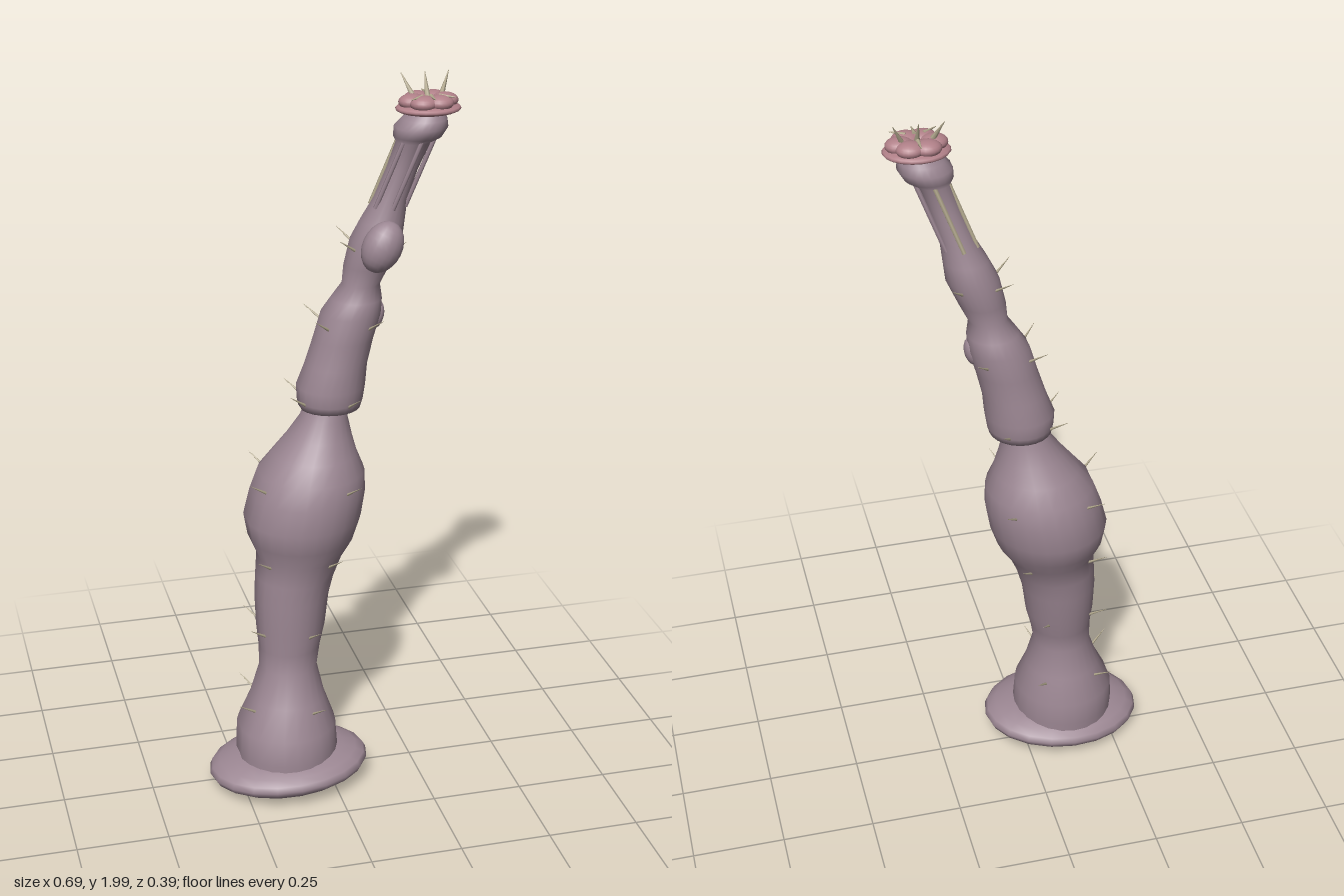
import * as THREE from 'three';

const flesh = new THREE.MeshStandardMaterial({ color: 0x9c8793, side: THREE.DoubleSide });
const pink = new THREE.MeshStandardMaterial({ color: 0xb08088 });
const horn = new THREE.MeshStandardMaterial({ color: 0xb5ab90 });
const V = (x, y, z) => new THREE.Vector3(x, y, z);

// Cross-sections of the stalk: [y, centre x, centre z, radius]
const lowerRings = [
  [0.06, -0.12, 0.03, 0.14], [0.12, -0.12, 0.03, 0.142], [0.19, -0.12, 0.025, 0.138],
  [0.27, -0.115, 0.018, 0.105], [0.36, -0.11, 0.01, 0.08], [0.42, -0.105, 0.005, 0.085],
  [0.48, -0.1, 0, 0.095], [0.57, -0.095, -0.005, 0.102], [0.63, -0.085, -0.008, 0.108],
  [0.69, -0.07, -0.012, 0.118], [0.74, -0.065, -0.018, 0.145], [0.8, -0.06, -0.02, 0.16],
  [0.87, -0.045, -0.022, 0.157], [0.93, -0.035, -0.022, 0.145], [0.98, -0.025, -0.022, 0.115],
  [1.03, -0.012, -0.02, 0.088], [1.08, 0, -0.02, 0.065], [1.13, 0.01, -0.02, 0.055],
];
const upperRings = [
  [1.12, 0.015, -0.022, 0.05], [1.11, 0.017, -0.022, 0.083], [1.13, 0.018, -0.022, 0.088],
  [1.17, 0.02, -0.022, 0.092], [1.23, 0.034, -0.02, 0.083], [1.3, 0.053, -0.018, 0.08],
  [1.37, 0.073, -0.015, 0.08], [1.41, 0.087, -0.012, 0.067], [1.45, 0.098, -0.009, 0.05],
  [1.5, 0.112, -0.005, 0.06], [1.57, 0.135, 0, 0.068], [1.62, 0.15, 0.005, 0.058],
  [1.68, 0.17, 0.01, 0.044], [1.76, 0.198, 0.02, 0.041], [1.83, 0.223, 0.03, 0.045],
  [1.845, 0.232, 0.035, 0.062], [1.87, 0.24, 0.038, 0.069], [1.89, 0.248, 0.04, 0.058],
  [1.91, 0.255, 0.04, 0.045],
];

function add(parent, name, geometry, material) {
  const m = new THREE.Mesh(geometry, material);
  m.name = name;
  parent.add(m);
  return m;
}

// Skin the rings; a faint seam runs down the -x side
function skin(rings, sides = 24) {
  const pos = [], idx = [];
  for (const [y, cx, cz, r] of rings) {
    for (let i = 0; i < sides; i++) {
      const a = i / sides * Math.PI * 2;
      const k = r * (i === sides / 2 ? 0.96 : 1);
      pos.push(cx + k * Math.cos(a), y, cz + k * Math.sin(a));
    }
  }
  for (let j = 0; j < rings.length - 1; j++) {
    for (let i = 0; i < sides; i++) {
      const a = j * sides + i, b = j * sides + (i + 1) % sides;
      idx.push(a, a + sides, b, b, a + sides, b + sides);
    }
  }
  const g = new THREE.BufferGeometry();
  g.setAttribute('position', new THREE.Float32BufferAttribute(pos, 3));
  g.setIndex(idx);
  g.computeVertexNormals();
  return g;
}

function ellipsoid(parent, name, p, s, material, tilt = 0) {
  const m = add(parent, name, new THREE.SphereGeometry(1, 20, 12), material);
  m.position.set(...p);
  m.scale.set(...s);
  m.rotation.z = tilt;
  return m;
}

// Tapered rod between two points
function rod(parent, name, a, b, r0, r1, material) {
  const d = b.clone().sub(a);
  const m = add(parent, name, new THREE.CylinderGeometry(r1, r0, d.length(), 6), material);
  m.position.copy(a).add(b).multiplyScalar(0.5);
  m.quaternion.setFromUnitVectors(V(0, 1, 0), d.normalize());
}

// Stalk centre and radius at a height
function at(y) {
  const rings = y < 1.12 ? lowerRings : upperRings.slice(1);
  let j = 0;
  while (j < rings.length - 2 && rings[j + 1][0] < y) j++;
  const t = (y - rings[j][0]) / (rings[j + 1][0] - rings[j][0]);
  return rings[j].map((v, k) => v + (rings[j + 1][k] - v) * t);
}

export function createModel() {
  const model = new THREE.Group();
  model.name = 'stalk creature';

  add(model, 'lowerStalk', skin(lowerRings), flesh);
  add(model, 'upperStalk', skin(upperRings), flesh);
  ellipsoid(model, 'foot', [-0.118, 0.066, 0.04], [0.225, 0.058, 0.174], flesh, 0.05);
  ellipsoid(model, 'largeBulb', [0.132, 1.57, 0.075], [0.052, 0.07, 0.048], flesh, -0.45);
  ellipsoid(model, 'smallBulb', [0.138, 1.36, -0.01], [0.023, 0.04, 0.03], flesh, -0.2);

  // Thorns on the diagonals at each level
  const thorns = new THREE.Group();
  thorns.name = 'thorns';
  model.add(thorns);
  [0.25, 0.47, 0.68, 0.9, 1.13, 1.34, 1.55].forEach((y, level) => {
    const [, cx, cz, r] = at(y);
    [62, 150, 222, 308].forEach((deg, k) => {
      const a = (deg + 6 * Math.sin(level * 2 + k)) * Math.PI / 180;
      const p = (d, h) => V(cx + Math.cos(a) * d, y + h, cz + Math.sin(a) * d);
      rod(thorns, 'thorn', p(r - 0.01, -0.005), p(r + 0.05, 0.035), 0.0045, 0.0005, horn);
    });
  });

  // Tendons around the neck
  const tendons = new THREE.Group();
  tendons.name = 'tendons';
  model.add(tendons);
  for (let i = 0; i < 6; i++) {
    const a = i / 6 * Math.PI * 2 + 0.5;
    const end = (y) => {
      const [, cx, cz] = at(y);
      return V(cx + Math.cos(a) * 0.046, y, cz + Math.sin(a) * 0.046);
    };
    rod(tendons, 'tendon', end(1.66), end(1.845), 0.006, 0.006, i === 3 || i === 4 ? horn : flesh);
  }

  // Lobed crown
  const crown = new THREE.Group();
  crown.name = 'crown';
  crown.position.set(0.258, 1.915, 0.039);
  model.add(crown);
  ellipsoid(crown, 'crownDisc', [0, 0, 0], [0.085, 0.016, 0.07], pink);
  for (let i = 0; i < 6; i++) {
    const a = i / 6 * Math.PI * 2;
    ellipsoid(crown, 'lobe', [Math.cos(a) * 0.042, 0.018, Math.sin(a) * 0.034], [0.036, 0.02, 0.032], pink);
  }
  // Tall spikes at the back, short ones at the front
  for (const x of [-1, 0, 1]) {
    rod(crown, 'tallSpike', V(x * 0.035, 0.025, -0.008), V(x * 0.063, 0.085, -0.036), 0.008, 0.0008, horn);
    rod(crown, 'shortSpike', V(x * 0.022, 0.034, 0.02), V(x * 0.058, 0.034, x ? 0.047 : 0.062), 0.006, 0.001, horn);
  }
  rod(crown, 'rearSpike', V(0, 0.034, -0.02), V(0, 0.034, -0.062), 0.006, 0.001, horn);
  return model;
}
